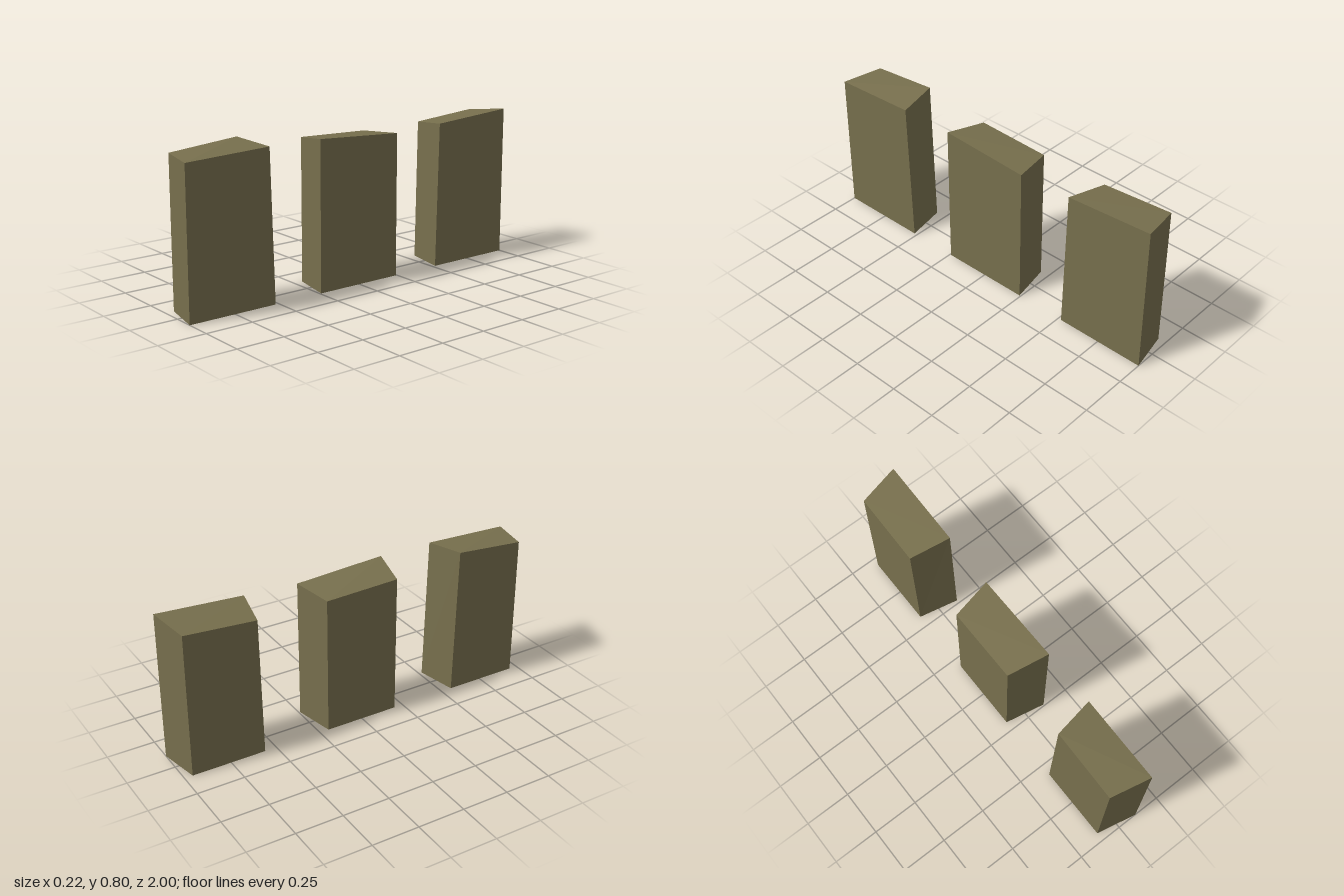
import * as THREE from 'three';

const W = 0.108; // half the thickness in x

// Corners ordered: left-back, left-front, right-front, right-back (seen from above, x to the right).
const blocks = [
  { name: 'frontBlock', base: [0.56, 0.955, 1.0, 0.518], top: [0.58, 0.955, 1.0, 0.54], height: [0.798, 0.766, 0.76, 0.778] },
  { name: 'middleBlock', base: [-0.2, 0.2, 0.243, -0.243], top: [-0.2, 0.2, 0.243, -0.243], height: [0.737, 0.75, 0.777, 0.75] },
  { name: 'backBlock', base: [-0.957, -0.563, -0.518, -1.0], top: [-0.957, -0.575, -0.534, -1.0], height: [0.77, 0.742, 0.765, 0.795] },
];

// Wedge-shaped block with a slanted top and an open underside
function blockGeometry({ base, top, height }) {
  const geometry = new THREE.BoxGeometry(2, 2, 2);
  const pos = geometry.attributes.position;
  for (let i = 0; i < pos.count; i++) {
    const right = pos.getX(i) > 0, upper = pos.getY(i) > 0, front = pos.getZ(i) > 0;
    const corner = right ? (front ? 2 : 3) : (front ? 1 : 0);
    pos.setXYZ(i, right ? W : -W, upper ? height[corner] : 0, (upper ? top : base)[corner]);
  }
  // Fold the top from left-back to right-front, and leave out the bottom face
  const index = Array.from(geometry.index.array);
  const [a, b, d, , c] = index.slice(12, 18);
  index.splice(12, 12, a, b, c, a, c, d);
  geometry.clearGroups();
  geometry.setIndex(index);
  const flat = geometry.toNonIndexed();
  flat.computeVertexNormals();
  return flat;
}

export function createModel() {
  const group = new THREE.Group();
  group.name = 'threeBlocks';
  const olive = new THREE.MeshStandardMaterial({ color: 0x776f4d, side: THREE.DoubleSide });
  olive.name = 'olive';
  for (const block of blocks) {
    const mesh = new THREE.Mesh(blockGeometry(block), olive);
    mesh.name = block.name;
    group.add(mesh);
  }
  return group;
}
